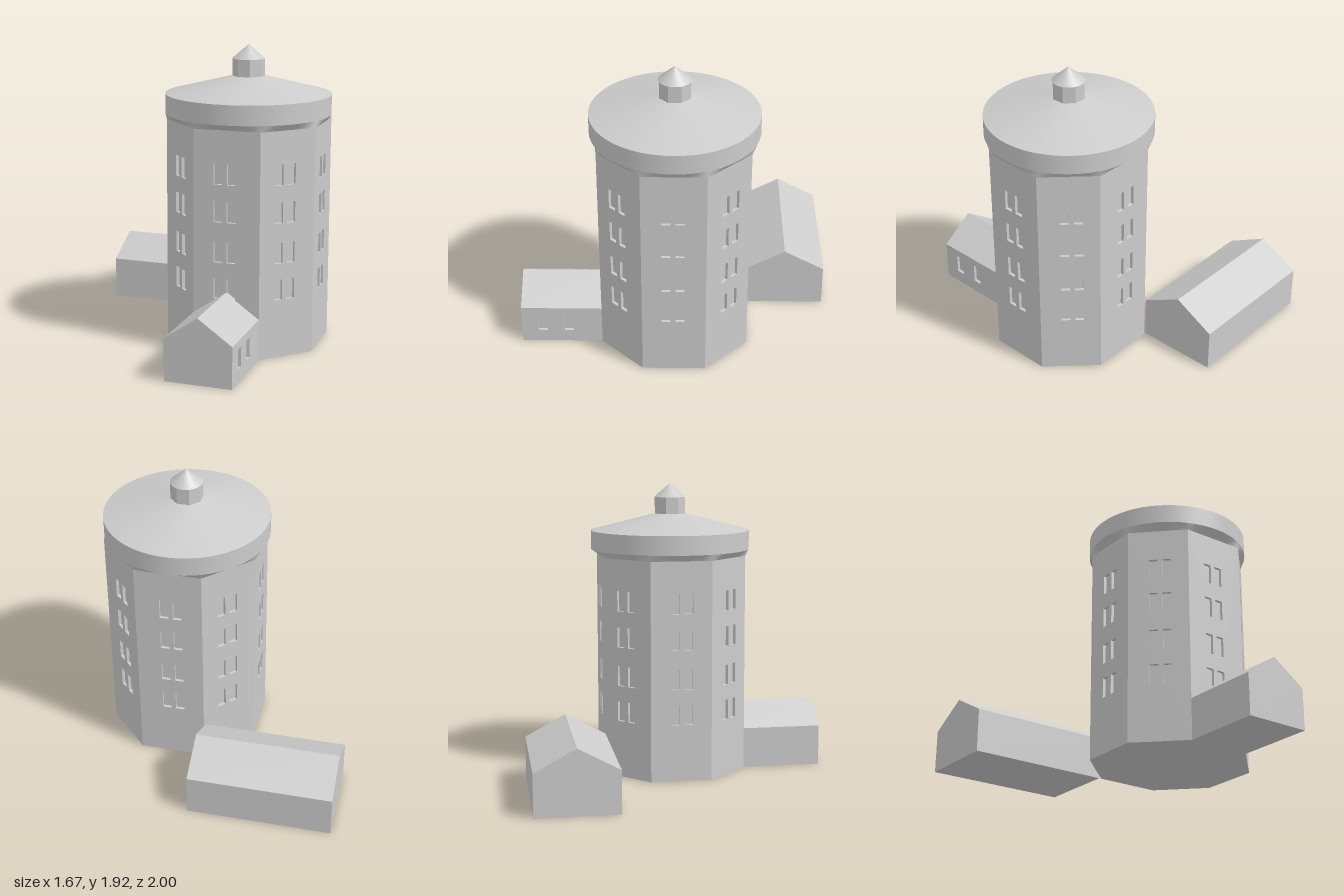
import * as THREE from 'three';

const CX = 0.302, DEPTH = 0.02, WALL_TOP = 1.445, EAVE = 1.485, R = 0.53;

export function createModel() {
  const model = new THREE.Group();
  model.name = 'tower';
  const grey = new THREE.MeshStandardMaterial({ color: 0xcccccc });
  grey.name = 'light grey';

  const add = (parent, name, geometry, x = 0, y = 0, z = 0) => {
    const mesh = new THREE.Mesh(geometry, grey);
    mesh.name = name;
    mesh.position.set(x, y, z);
    parent.add(mesh);
    return mesh;
  };
  const polygon = (points) => new THREE.Shape(points.map(([x, y]) => new THREE.Vector2(x, y)));
  const extrude = (shape, depth) => new THREE.ExtrudeGeometry(shape, { depth, bevelEnabled: false });

  // Wall from a to b (x, z; left to right seen from outside) with recessed windows [s, y, w, h]
  const addWall = (name, a, b, height, windows) => {
    const t = new THREE.Vector3(b[0] - a[0], 0, b[1] - a[1]);
    const length = t.length();
    t.normalize();
    const up = new THREE.Vector3(0, 1, 0);
    const n = t.clone().cross(up);
    const shape = polygon([[0, 0], [length, 0], [length, height], [0, height]]);
    for (const [s, y, w, h] of windows) {
      shape.holes.push(new THREE.Path([[0, 0], [0, h], [w, h], [w, 0]]
        .map(([dx, dy]) => new THREE.Vector2(s - w / 2 + dx, y + dy))));
    }
    const wall = new THREE.Group();
    wall.name = name;
    wall.quaternion.setFromRotationMatrix(new THREE.Matrix4().makeBasis(t, up, n));
    wall.position.set(a[0], 0, a[1]).addScaledVector(n, -DEPTH);
    add(wall, 'wallPanel', extrude(shape, DEPTH));
    for (const [s, y, w, h] of windows) {
      add(wall, 'windowPane', new THREE.PlaneGeometry(w, h), s, y + h / 2, 0);
    }
    model.add(wall);
  };

  // Octagonal tower walls, each with four rows of paired windows
  const corners = [[0.1, 0.475], [0.53, 0.475], [0.798, 0.2], [0.798, -0.2],
    [0.53, -0.47], [0.1, -0.47], [-0.18, -0.2], [-0.18, 0.2]];
  const rows = [0.375, 0.61, 0.867, 1.105];
  corners.forEach((a, i) => {
    const b = corners[(i + 1) % 8];
    const length = Math.hypot(b[0] - a[0], b[1] - a[1]);
    const mid = ((CX - a[0]) * (b[0] - a[0]) + (0.005 - a[1]) * (b[1] - a[1])) / length;
    const windows = rows.flatMap((y) => [-0.043, 0.043].map((d) => [mid + d, y, 0.056, 0.132]));
    addWall('towerWall' + (i + 1), a, b, WALL_TOP, windows);
  });
  const floor = add(model, 'towerFloor', new THREE.ShapeGeometry(polygon(corners)));
  floor.rotation.x = Math.PI / 2;

  // Flared band from the octagon out to the round roof
  const steps = 8, positions = [], index = [], count = 8 * steps;
  for (let k = 0; k <= count; k++) {
    const a = corners[Math.floor(k / steps) % 8], b = corners[(Math.floor(k / steps) + 1) % 8];
    const f = (k % steps) / steps;
    const x = a[0] + (b[0] - a[0]) * f, z = a[1] + (b[1] - a[1]) * f;
    const r = R / Math.hypot(x - CX, z);
    positions.push(x, WALL_TOP, z, CX + (x - CX) * r, EAVE, z * r);
    if (k < count) index.push(2 * k, 2 * k + 2, 2 * k + 3, 2 * k, 2 * k + 3, 2 * k + 1);
  }
  const flare = new THREE.BufferGeometry();
  flare.setAttribute('position', new THREE.Float32BufferAttribute(positions, 3));
  flare.setIndex(index);
  flare.computeVertexNormals();
  add(model, 'eavesFlare', flare);

  // Round roof with its lantern
  add(model, 'roofDrum', new THREE.CylinderGeometry(R, R, 0.125, 64, 1, true), CX, 1.5475, 0);
  add(model, 'roofCone', new THREE.CylinderGeometry(0.1, R, 0.11, 64, 1), CX, 1.665, 0);
  const lanternGeometry = new THREE.CylinderGeometry(0.104, 0.104, 0.12, 8).toNonIndexed();
  lanternGeometry.computeVertexNormals();
  const lantern = add(model, 'lantern', lanternGeometry, CX, 1.77, 0);
  lantern.rotation.y = Math.PI / 8;
  add(model, 'lanternRoof', new THREE.ConeGeometry(0.104, 0.09, 24), CX, 1.875, 0);

  // Front annex, with two windows in its left wall
  add(model, 'frontAnnex', extrude(polygon([[0.1, 0], [0.51, 0], [0.51, 0.265],
    [0.53, 0.265], [0.312, 0.418], [0.1, 0.27]]), 0.55), 0, 0, 0.45);
  addWall('frontAnnexWall', [0.53, 1], [0.53, 0.46], 0.265,
    [[0.137, 0.086, 0.059, 0.128], [0.308, 0.086, 0.059, 0.128]]);

  // Back annex, ridge running sideways
  const back = add(model, 'backAnnex', extrude(polygon([[0.47, 0], [1, 0], [1, 0.275],
    [0.735, 0.417], [0.47, 0.275]]), 0.925), -0.84, 0, 0);
  back.rotation.y = Math.PI / 2;

  return model;
}
